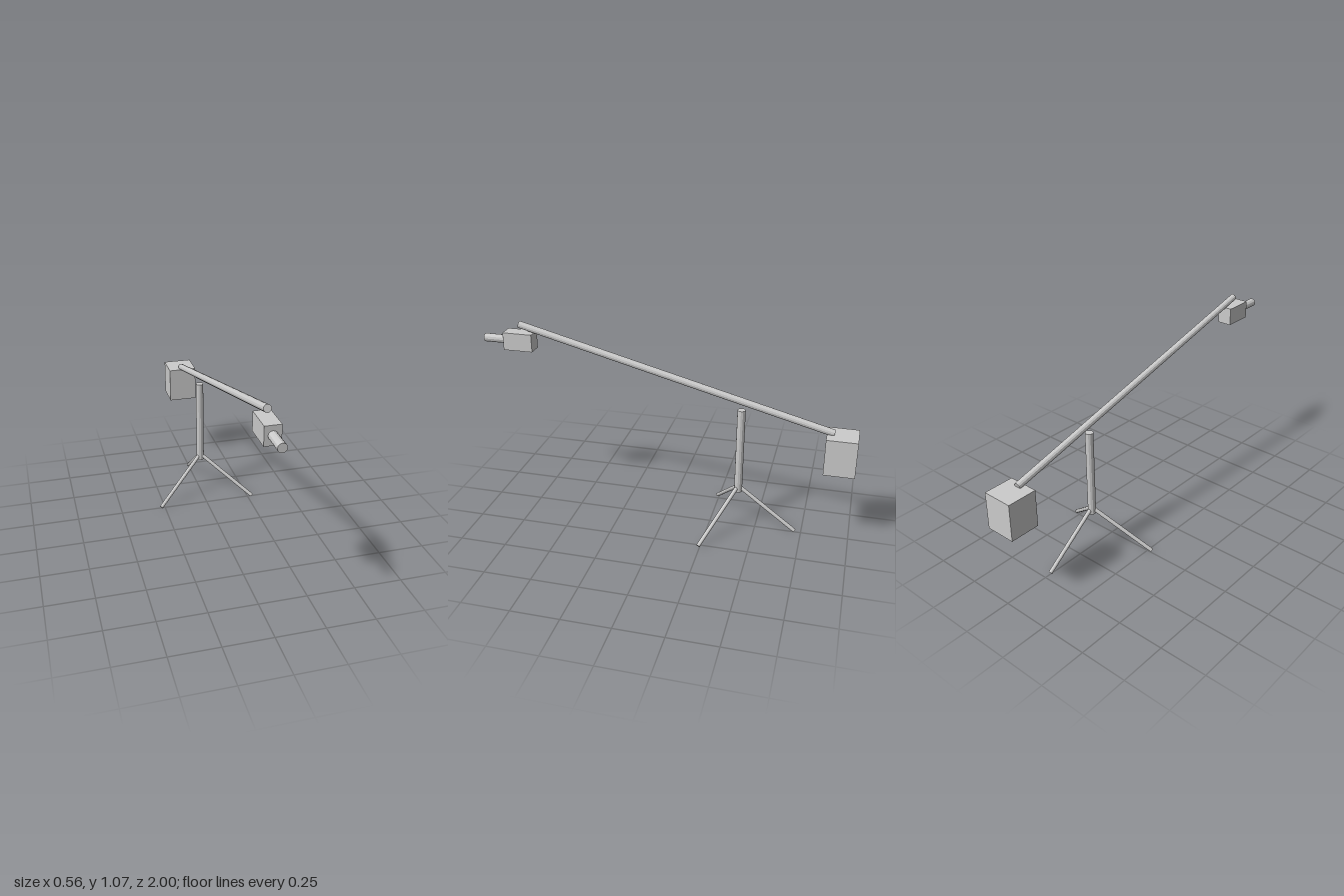
import * as THREE from 'three';

const material = new THREE.MeshStandardMaterial({ color: 0xcccccc, flatShading: true });

export function createModel() {
  const crane = new THREE.Group();
  crane.name = 'cameraCrane';

  const add = (name, geometry, x, y, z) => {
    const mesh = new THREE.Mesh(geometry, material);
    mesh.name = name;
    mesh.position.set(x, y, z);
    crane.add(mesh);
    return mesh;
  };

  // Faceted rod running between two points
  const rod = (name, from, to, radius) => {
    const a = new THREE.Vector3(...from);
    const b = new THREE.Vector3(...to);
    const mid = a.clone().add(b).multiplyScalar(0.5);
    const mesh = add(name, new THREE.CylinderGeometry(radius, radius, a.distanceTo(b), 12), mid.x, mid.y, mid.z);
    mesh.quaternion.setFromUnitVectors(new THREE.Vector3(0, 1, 0), b.sub(a).normalize());
    return mesh;
  };

  const postZ = -0.4;

  // Tripod: upright post and three splayed legs, one pointing back
  rod('post', [0, 0.212, postZ], [0, 0.69, postZ], 0.0215);
  for (let i = 0; i < 3; i++) {
    const angle = Math.PI + (i * Math.PI * 2) / 3;
    const reach = 0.315;
    rod('leg', [0, 0.245, postZ],
      [Math.sin(angle) * reach, 0.009, postZ + Math.cos(angle) * reach], 0.0105);
  }

  // Boom tilted up towards the front
  rod('boom', [0, 0.615, -0.877], [0, 1.051, 0.8], 0.0188);

  // Counterweight at the rear end
  add('counterweight', new THREE.BoxGeometry(0.16, 0.198, 0.16), 0, 0.511, -0.92);

  // Camera body with its lens at the front end
  add('cameraBody', new THREE.BoxGeometry(0.08, 0.095, 0.16), 0, 0.963, 0.8);
  rod('lens', [0, 0.963, 0.86], [0, 0.963, 1], 0.0225);

  return crane;
}
